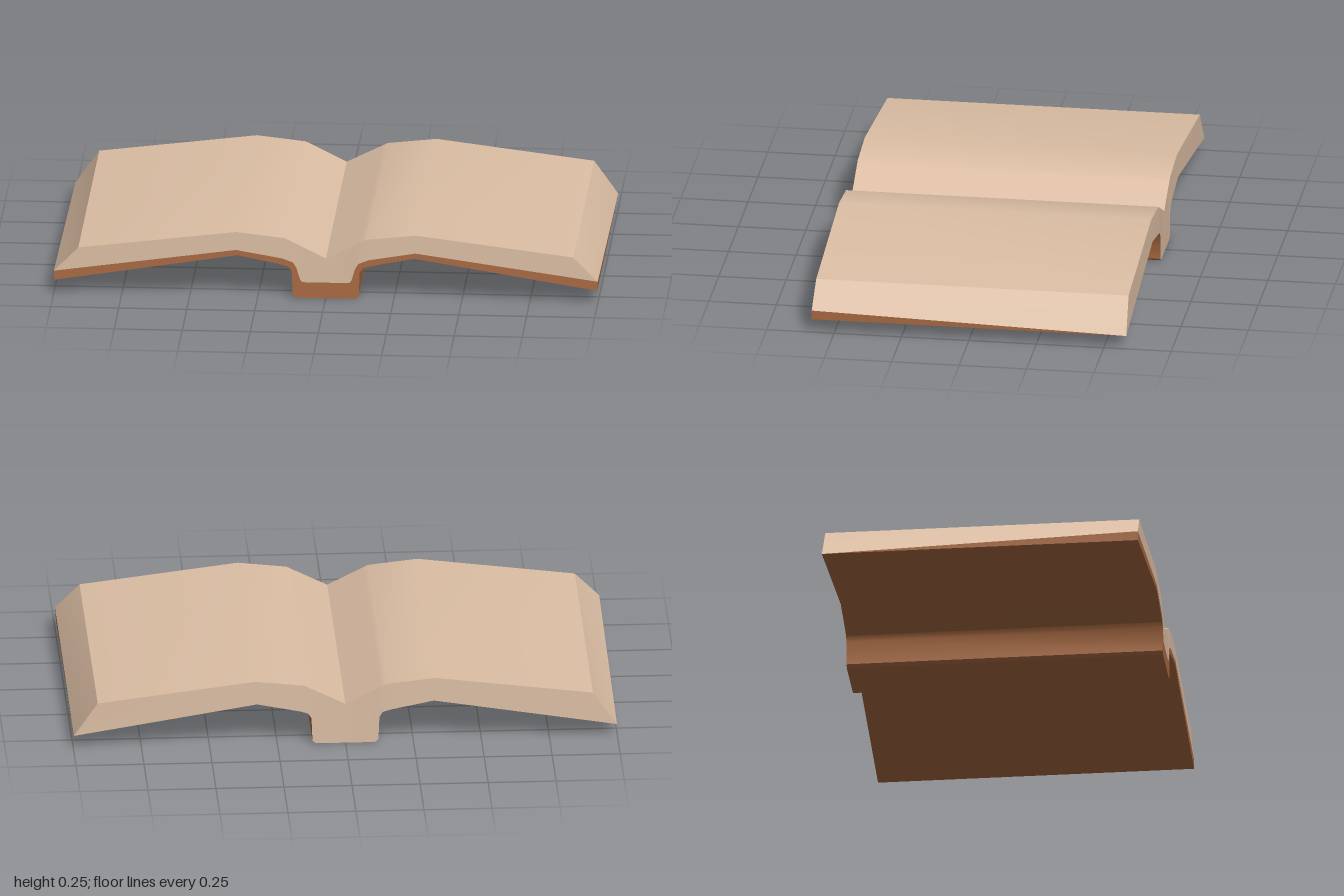
import * as THREE from 'three';
import { toCreasedNormals } from 'three/addons/utils/BufferGeometryUtils.js';

// Half profiles (x, y) from the gutter to the outer edge
const pageTop = [[0, 0.152], [0.05, 0.177], [0.08, 0.192], [0.11, 0.207], [0.13, 0.217], [0.15, 0.227], [0.33, 0.247], [0.91, 0.175]];
const coverTop = [[0, 0.06], [0.085, 0.06], [0.094, 0.068], [0.108, 0.115], [0.12, 0.135], [0.16, 0.15], [0.33, 0.179], [1, 0.085]];
const coverBottom = [[0, 0], [0.108, 0], [0.121, 0.01], [0.125, 0.1], [0.137, 0.118], [0.165, 0.127], [0.325, 0.159], [0.998, 0.05]];

// Mirrors a half profile into a full rail, left to right, at depth z
function rail(half, z) {
  const right = half.map(([x, y]) => [x, y, z]);
  const left = half.slice(1).reverse().map(([x, y]) => [-x, y, z]);
  return [...left, ...right];
}

// Triangles between an upper and a lower rail that run left to right
function strip(upper, lower) {
  const out = [];
  for (let i = 0; i < upper.length - 1; i++) {
    if (lower[i + 1] !== upper[i + 1]) out.push(...lower[i], ...lower[i + 1], ...upper[i + 1]);
    out.push(...lower[i], ...upper[i + 1], ...upper[i]);
  }
  return out;
}

function part(name, material, strips) {
  const geometry = new THREE.BufferGeometry();
  geometry.setAttribute('position', new THREE.Float32BufferAttribute(strips.flat(), 3));
  const mesh = new THREE.Mesh(toCreasedNormals(geometry, 0.6), material);
  mesh.name = name;
  return mesh;
}

export function createModel() {
  const paper = new THREE.MeshStandardMaterial({ color: 0xdcbea4 });
  paper.name = 'paper';
  const leather = new THREE.MeshStandardMaterial({ color: 0xad6d44 });
  leather.name = 'leather';

  const topFront = rail(pageTop, 0.579), topBack = rail(pageTop, -0.579);
  const seamFront = rail(coverTop, 0.583);
  const baseFront = rail(coverBottom, 0.583), baseBack = rail(coverBottom, -0.583);
  const end = topFront.length - 1;

  const group = new THREE.Group();
  group.name = 'openBook';

  // Page block: top, front, back and the two sloping fore edges
  group.add(part('pages', paper, [
    strip(topBack, topFront),
    strip(topFront, seamFront),
    strip(baseBack, topBack),
    strip([topFront[end], topBack[end]], [seamFront[end], baseBack[end]]),
    strip([topBack[0], topFront[0]], [baseBack[0], seamFront[0]]),
  ]));

  // Cover: a shell with a spine channel, tapering to nothing at the back
  group.add(part('cover', leather, [
    strip(seamFront, baseFront),
    strip(baseFront, baseBack),
    strip([seamFront[end], baseBack[end]], [baseFront[end], baseBack[end]]),
    // left side triangle
    [...baseBack[0], ...baseFront[0], ...seamFront[0]],
  ]));
  return group;
}
